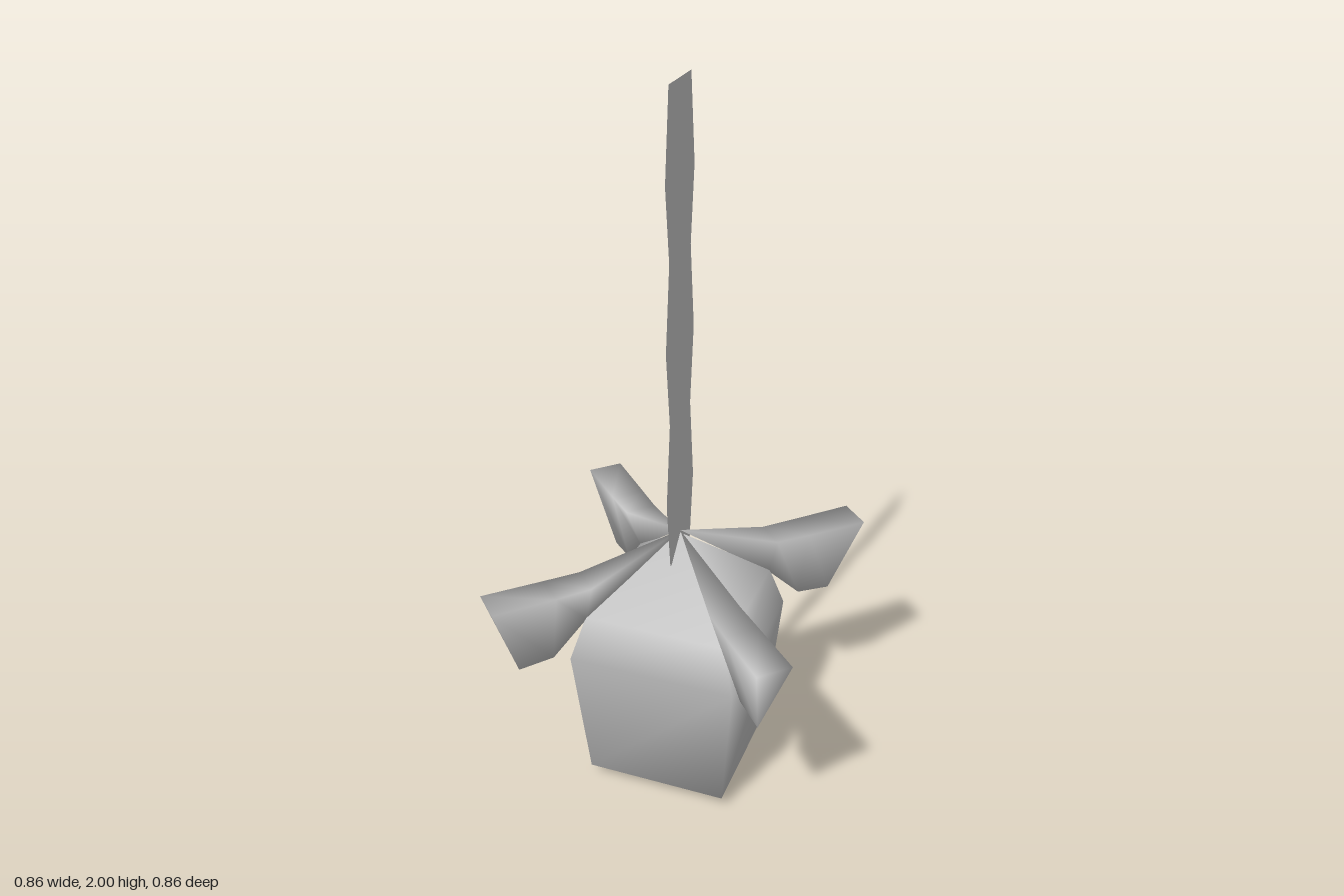
import * as THREE from 'three';
import { mergeVertices } from 'three/addons/utils/BufferGeometryUtils.js';

// Smooth skin over a list of rings with equal point counts; the last ring is capped
function loft(rings) {
  const n = rings[0].length;
  const index = [];
  for (let i = 0; i < rings.length - 1; i++) {
    for (let k = 0; k < n; k++) {
      const a = i * n + k, b = i * n + (k + 1) % n;
      index.push(a, b, b + n, a, b + n, a + n);
    }
  }
  const last = (rings.length - 1) * n;
  for (let k = 1; k < n - 1; k++) index.push(last, last + k, last + k + 1);
  let geo = new THREE.BufferGeometry();
  geo.setAttribute('position', new THREE.Float32BufferAttribute(rings.flat(2), 3));
  geo.setIndex(index);
  geo = mergeVertices(geo);
  geo.computeVertexNormals();
  return geo;
}

export function createModel() {
  const group = new THREE.Group();
  const grey = new THREE.MeshStandardMaterial({ color: 0xcccccc, side: THREE.DoubleSide });
  grey.name = 'plain grey';
  const add = (name, geo) => {
    const mesh = new THREE.Mesh(geo, grey);
    mesh.name = name;
    group.add(mesh);
    return mesh;
  };

  // Square fruit body: [half width, height]
  const profile = [[0, 0.003], [0.2, 0.04], [0.235, 0.44], [0.2, 0.565], [0, 0.765]];
  add('fruitBody', loft(profile.map(([s, y]) => [[s, y, s], [s, y, -s], [-s, y, -s], [-s, y, s]])));

  // Four wedge-shaped sepals on the diagonals: [top reach, half width, top y, bottom reach, bottom y]
  const sections = [
    [0, 0, 0.773, 0, 0.773],
    [0.28, 0.045, 0.685, 0.28, 0.56],
    [0.38, 0.048, 0.683, 0.38, 0.46],
    [0.558, 0.05, 0.683, 0.48, 0.45],
  ];
  const sepal = loft(sections.map(([z, w, y, zb, yb]) => [[0, yb, zb], [w, y, z], [-w, y, z]]));
  for (let i = 0; i < 4; i++) {
    add('sepal', sepal).rotation.y = Math.PI / 4 + i * Math.PI / 2;
  }

  // Flat wavy stem standing in the x = 0 plane: [half width, height]
  const edge = [[0.075, 0.7], [0.1, 0.9], [0.075, 1.13], [0.1, 1.34], [0.075, 1.57], [0.1, 1.77], [0.075, 2]];
  const outline = [...edge, ...edge.map(([w, y]) => [-w, y]).reverse()];
  const shape = new THREE.Shape(outline.map(([x, y]) => new THREE.Vector2(x, y)));
  add('stem', new THREE.ShapeGeometry(shape).rotateY(Math.PI / 2));

  return group;
}
